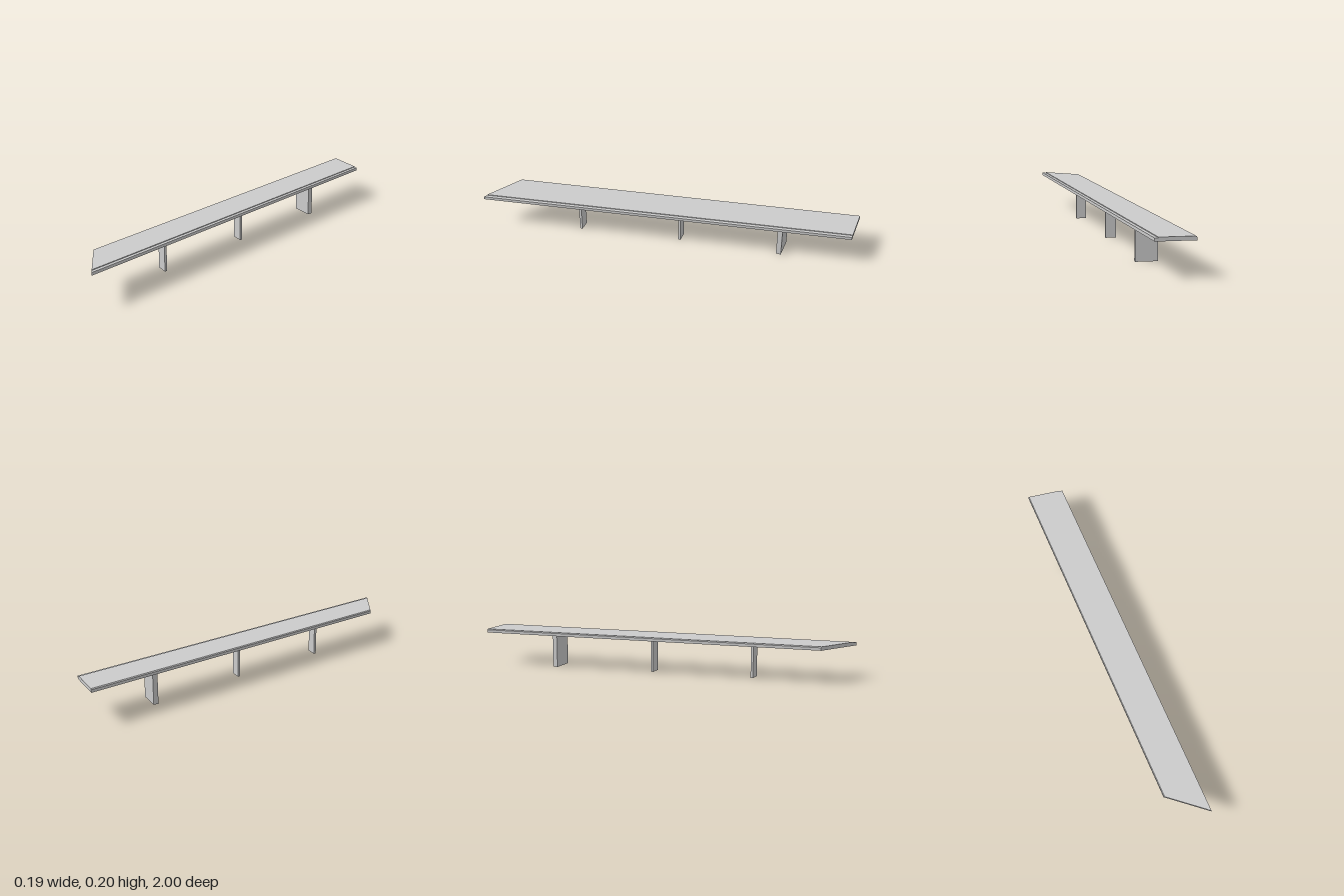
import * as THREE from 'three';

const material = new THREE.MeshStandardMaterial({ color: 0xcccccc, flatShading: true });
const HALF = 0.095;

// Long plank: stepped cross-section extruded along z, with both ends cut at a slant
function plank() {
  const profile = new THREE.Shape([
    [-HALF, 0.18], [HALF, 0.18], [HALF, 0.196], [0.078, 0.196],
    [0.078, 0.2], [-0.091, 0.2], [-HALF, 0.195],
  ].map(([x, y]) => new THREE.Vector2(x, y)));
  const geometry = new THREE.ExtrudeGeometry(profile, { depth: 1, bevelEnabled: false });
  const p = geometry.attributes.position;
  for (let i = 0; i < p.count; i++) {
    const t = (p.getX(i) + HALF) / (2 * HALF);
    const back = THREE.MathUtils.lerp(-1, -0.965, t);
    const front = THREE.MathUtils.lerp(0.84, 1, t);
    p.setZ(i, THREE.MathUtils.lerp(back, front, p.getZ(i)));
  }
  geometry.computeVertexNormals();
  const mesh = new THREE.Mesh(geometry, material);
  mesh.name = 'seatPlank';
  return mesh;
}

// Upright slab leg, turned to run parallel to the back end of the plank
function leg(name, width, thickness, z) {
  const mesh = new THREE.Mesh(new THREE.BoxGeometry(width, 0.18, thickness), material);
  mesh.position.set(0, 0.09, z);
  mesh.rotation.y = -Math.atan2(0.035, 2 * HALF);
  mesh.name = name;
  return mesh;
}

export function createModel() {
  const group = new THREE.Group();
  group.name = 'bench';
  group.add(
    plank(),
    leg('frontLeg', 0.057, 0.013, 0.481),
    leg('middleLeg', 0.057, 0.013, -0.064),
    leg('wideBackLeg', 0.112, 0.026, -0.607),
  );
  return group;
}
